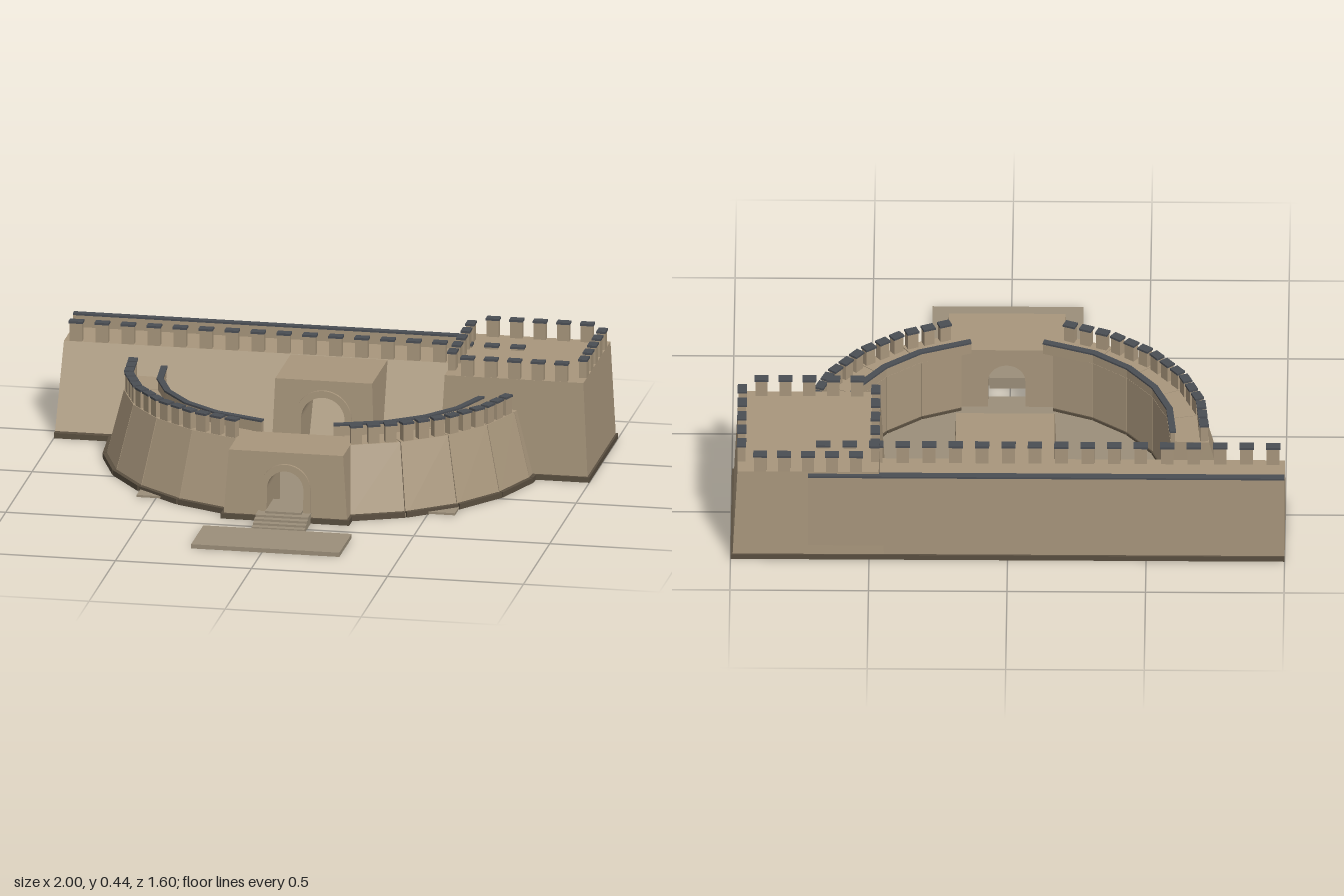
import * as THREE from 'three';

const mat = (color) => new THREE.MeshStandardMaterial({ color, flatShading: true, roughness: 0.9 });
const stone = mat(0xa8967c), slate = mat(0x4a4e54), dark = mat(0x5a4f40), paving = mat(0x9c8f7a);

function add(parent, name, geometry, material) {
  const mesh = new THREE.Mesh(geometry, material);
  mesh.name = name;
  parent.add(mesh);
  return mesh;
}

function subgroup(parent, name) {
  const g = new THREE.Group();
  g.name = name;
  parent.add(g);
  return g;
}

// Solid between a lower and an upper four-cornered outline, corners [x, z]
function block(parent, name, low, high, y0, y1, material) {
  const b = low.map(([x, z]) => [x, y0, z]);
  const t = high.map(([x, z]) => [x, y1, z]);
  const pos = [];
  const quad = (p, q, r, s) => pos.push(...p, ...q, ...r, ...p, ...r, ...s);
  for (let i = 0; i < 4; i++) {
    const j = (i + 1) % 4;
    quad(b[i], b[j], t[j], t[i]);
  }
  quad(...t);
  quad(b[3], b[2], b[1], b[0]);
  const geo = new THREE.BufferGeometry();
  geo.setAttribute('position', new THREE.Float32BufferAttribute(pos, 3));
  geo.computeVertexNormals();
  return add(parent, name, geo, material);
}

const rect = (x0, x1, z0, z1) => [[x0, z1], [x1, z1], [x1, z0], [x0, z0]];

function box(parent, name, x0, x1, y0, y1, z0, z1, material) {
  return block(parent, name, rect(x0, x1, z0, z1), rect(x0, x1, z0, z1), y0, y1, material);
}

// Merlon with a slightly wider slate cap
function merlon(parent, x, z, y, height, width, angle = 0) {
  const g = subgroup(parent, 'merlon');
  box(g, 'merlonBody', -width / 2, width / 2, 0, height - 0.008, -0.014, 0.014, stone);
  box(g, 'merlonCap', -width / 2 - 0.003, width / 2 + 0.003, height - 0.008, height, -0.017, 0.017, slate);
  g.position.set(x, y, z);
  g.rotation.y = angle;
}

// Outline of an arched opening standing on the ground, traced left to right
function traceArch(shape, cx, r, spring) {
  shape.lineTo(cx - r, 0);
  shape.lineTo(cx - r, spring);
  shape.absarc(cx, spring, r, Math.PI, 0, true);
  shape.lineTo(cx + r, 0);
}

// Battered block with an arched passage, a raised arch frame and a plinth
function archBlock(root, name, { cx, low, high, h, back, front, r, spring, frame }) {
  const g = subgroup(root, name);
  const batter = 0.05;
  const lean = (geo) => {
    const p = geo.attributes.position;
    for (let i = 0; i < p.count; i++) {
      if (p.getZ(i) > back + 0.05) p.setZ(i, p.getZ(i) - p.getY(i) * batter);
    }
    geo.computeVertexNormals();
    return geo;
  };
  const body = new THREE.Shape();
  body.moveTo(cx - low, 0);
  traceArch(body, cx, r, spring);
  body.lineTo(cx + low, 0);
  body.lineTo(cx + high, h);
  body.lineTo(cx - high, h);
  body.closePath();
  const bodyGeo = new THREE.ExtrudeGeometry(body, { depth: front - back, bevelEnabled: false, curveSegments: 14 });
  add(g, name + 'Body', lean(bodyGeo.translate(0, 0, back)), stone);

  const ring = new THREE.Shape();
  ring.moveTo(cx - r - frame, 0);
  traceArch(ring, cx, r, spring);
  ring.lineTo(cx + r + frame, 0);
  ring.lineTo(cx + r + frame, spring);
  ring.absarc(cx, spring, r + frame, 0, Math.PI, false);
  ring.closePath();
  const ringGeo = new THREE.ExtrudeGeometry(ring, { depth: 0.016, bevelEnabled: false, curveSegments: 14 });
  add(g, 'archFrame', lean(ringGeo.translate(0, 0, front - 0.006)), stone);

  for (const s of [-1, 1]) {
    const xs = [cx + s * (r + frame), cx + s * (low + 0.008)].sort((a, b) => a - b);
    box(g, 'plinth', xs[0], xs[1], 0, 0.02, back + 0.01, front + 0.008, dark);
  }
  return g;
}

// Long straight wall with a sloping front
function mainWall(root) {
  const g = subgroup(root, 'mainWall');
  block(g, 'wallBody', rect(-1, 0.72, -0.793, -0.425), rect(-1, 0.72, -0.793, -0.605), 0, 0.31, stone);
  box(g, 'plinth', -1, 0.72, 0, 0.02, -0.8, -0.412, dark);
  box(g, 'backParapet', -1, 0.72, 0.31, 0.355, -0.795, -0.777, stone);
  box(g, 'backParapetCap', -1, 0.72, 0.355, 0.362, -0.8, -0.773, slate);
  for (let i = 0; i < 18; i++) merlon(g, -0.957 + i * 0.0955, -0.62, 0.31, 0.075, 0.046);
}

// Square corner tower with a crenellated roof
function cornerTower(root) {
  const g = subgroup(root, 'cornerTower');
  block(g, 'towerBody', rect(0.445, 0.993, -0.795, -0.257), rect(0.465, 0.975, -0.782, -0.268), 0, 0.37, stone);
  box(g, 'plinth', 0.437, 1, 0, 0.02, -0.8, -0.25, dark);
  for (let i = 0; i < 5; i++) {
    for (const z of [-0.768, -0.283]) merlon(g, 0.547 + i * 0.0865, z, 0.37, 0.07, 0.044);
    for (const x of [0.479, 0.961]) merlon(g, x, -0.35 - i * 0.0865, 0.37, 0.07, 0.044, Math.PI / 2);
  }
}

// Faceted curved wall, built as separate segments on each side of the gate
function curvedWall(root) {
  const g = subgroup(root, 'curvedWall');
  const at = (deg, rx, rz) => {
    const a = THREE.MathUtils.degToRad(deg);
    return [0.01 + rx * Math.sin(a), -0.38 + rz * Math.cos(a)];
  };
  const sector = (a, b, o, i) => [at(a, ...o), at(b, ...o), at(b, ...i), at(a, ...i)];
  const base = [0.8, 0.775], top = [0.735, 0.675], inner = [0.595, 0.55];
  const step = 15.4;
  for (const s of [-1, 1]) {
    for (let k = 0; k < 5; k++) {
      const d = 16 + k * step;
      const [a, b] = s > 0 ? [d, d + step] : [-d - step, -d];
      block(g, 'wallSegment', sector(a + 0.12, b - 0.12, base, inner), sector(a + 0.12, b - 0.12, top, inner), 0, 0.255, stone);
      const foot = sector(a + 0.2, b - 0.2, [0.81, 0.785], [0.59, 0.545]);
      block(g, 'plinth', foot, foot, 0, 0.02, dark);

      // Inner parapet starts a little nearer the gate
      const p0 = k === 0 ? 12.5 : d;
      const [pa, pb] = s > 0 ? [p0, d + step] : [-d - step, -p0];
      const rail = sector(pa, pb, [0.612, 0.567], [0.596, 0.551]);
      const cap = sector(pa, pb, [0.616, 0.571], [0.592, 0.547]);
      block(g, 'innerParapet', rail, rail, 0.25, 0.293, stone);
      block(g, 'innerParapetCap', cap, cap, 0.293, 0.3, slate);

      // Three merlons along the straight outer edge of each segment
      const [p, q] = [at(a, 0.718, 0.658), at(b, 0.718, 0.658)];
      const yaw = -Math.atan2(q[1] - p[1], q[0] - p[0]);
      for (let m = 0; m < 3; m++) {
        const t = (m + 0.5) / 3;
        const x = p[0] + (q[0] - p[0]) * t, z = p[1] + (q[1] - p[1]) * t;
        if (s < 0 || z > -0.26) merlon(g, x, z, 0.255, 0.07, 0.04, yaw);
      }
    }
  }
}

// Courtyard floor, entrance steps and front landing
function groundWork(root) {
  const g = subgroup(root, 'groundWork');
  box(g, 'courtyardFloor', -0.57, 0.6, 0.002, 0.01, -0.35, 0.235, paving);
  box(g, 'frontLanding', -0.26, 0.285, 0, 0.016, 0.57, 0.802, paving);
  for (let i = 0; i < 6; i++) {
    const half = i < 5 ? 0.097 : 0.066;
    box(g, 'step', 0.01 - half, 0.01 + half, 0, 0.006 + i * 0.008, 0.4 - i * 0.02, 0.572 - i * 0.024, paving);
  }
}

export function createModel() {
  const root = new THREE.Group();
  root.name = 'fortress';
  mainWall(root);
  cornerTower(root);
  curvedWall(root);
  archBlock(root, 'frontGatehouse', {
    cx: 0.012, low: 0.228, high: 0.21, h: 0.256, back: 0.17, front: 0.418, r: 0.067, spring: 0.122, frame: 0.025,
  });
  archBlock(root, 'innerGatehouse', {
    cx: 0.012, low: 0.19, high: 0.178, h: 0.308, back: -0.61, front: -0.295, r: 0.08, spring: 0.168, frame: 0.025,
  });
  groundWork(root);
  return root;
}
